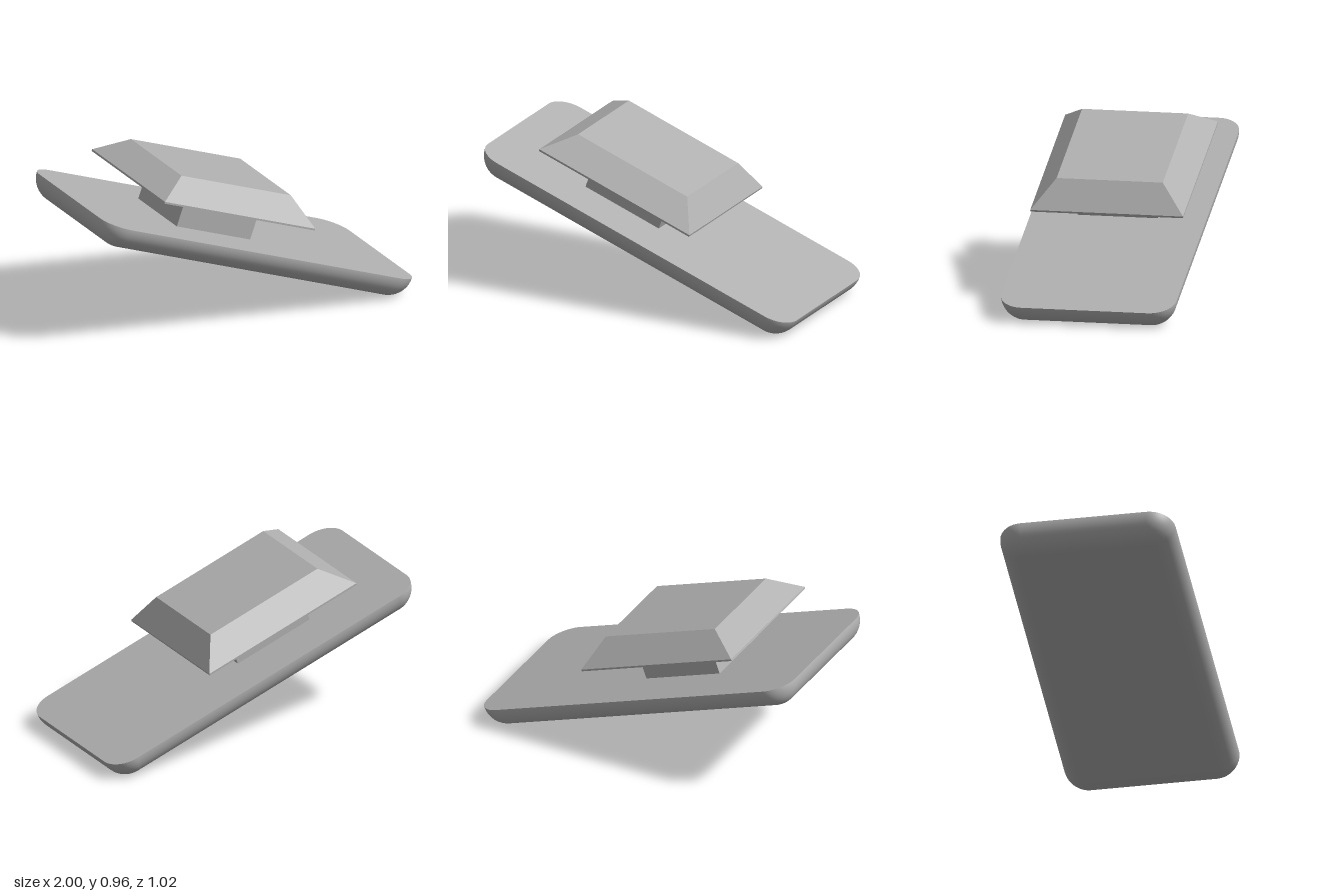
import * as THREE from 'three';

const grey = new THREE.MeshStandardMaterial({ color: 0xb0b0b0 });
grey.name = 'grey';

function addMesh(group, name, geometry, x, y, z) {
  const mesh = new THREE.Mesh(geometry, grey);
  mesh.name = name;
  mesh.position.set(x, y, z);
  group.add(mesh);
  return mesh;
}

// Slab with a flat top at y = 0 and its lower edges rounded by radius r
function roundedSlab(halfX, halfZ, r, cornerSteps = 12, edgeSteps = 12) {
  const pos = [], nor = [], index = [];
  const signs = [[1, 1], [-1, 1], [-1, -1], [1, -1]];
  const count = 4 * (cornerSteps + 1);
  const addRing = (phi, flatTop) => {
    signs.forEach(([sx, sz], corner) => {
      for (let k = 0; k <= cornerSteps; k++) {
        const t = (corner + k / cornerSteps) * Math.PI / 2;
        const n = [Math.cos(t) * Math.cos(phi), -Math.sin(phi), Math.sin(t) * Math.cos(phi)];
        pos.push(sx * (halfX - r) + r * n[0], r * n[1], sz * (halfZ - r) + r * n[2]);
        nor.push(...(flatTop ? [0, 1, 0] : n));
      }
    });
  };
  // rounded underside
  for (let j = 0; j <= edgeSteps; j++) addRing(j / edgeSteps * Math.PI / 2, false);
  for (let j = 0; j < edgeSteps; j++) {
    for (let i = 0; i < count; i++) {
      const next = (i + 1) % count;
      const a = j * count + i, b = j * count + next;
      index.push(a, b, a + count, b, b + count, a + count);
    }
  }
  // top and bottom caps
  const topRing = (edgeSteps + 1) * count;
  addRing(0, true);
  const topCentre = topRing + count, bottomCentre = topCentre + 1;
  pos.push(0, 0, 0, 0, -r, 0);
  nor.push(0, 1, 0, 0, -1, 0);
  for (let i = 0; i < count; i++) {
    const next = (i + 1) % count, last = edgeSteps * count;
    index.push(topCentre, topRing + next, topRing + i);
    index.push(bottomCentre, last + i, last + next);
  }
  const g = new THREE.BufferGeometry();
  g.setAttribute('position', new THREE.Float32BufferAttribute(pos, 3));
  g.setAttribute('normal', new THREE.Float32BufferAttribute(nor, 3));
  g.setIndex(index);
  return g;
}

// Box whose top is scaled inwards
function frustum(w, h, d, scaleX, scaleZ) {
  const g = new THREE.BoxGeometry(w, h, d);
  const p = g.attributes.position;
  for (let i = 0; i < p.count; i++) {
    if (p.getY(i) > 0) {
      p.setX(i, p.getX(i) * scaleX);
      p.setZ(i, p.getZ(i) * scaleZ);
    }
  }
  g.computeVertexNormals();
  return g;
}

export function createModel() {
  const model = new THREE.Group();
  model.name = 'tiltedPad';

  // everything leans 20 degrees down towards +x
  const tilted = new THREE.Group();
  tilted.name = 'tiltedAssembly';
  tilted.rotation.z = -THREE.MathUtils.degToRad(20);
  tilted.position.set(0.004, 0.4565, 0);
  model.add(tilted);

  addMesh(tilted, 'basePad', roundedSlab(1.0596, 0.51, 0.143), 0, 0, 0);
  addMesh(tilted, 'neck', new THREE.BoxGeometry(0.503, 0.174, 0.47), -0.211, 0.087, 0.005);

  // head: thin rim with a bevelled block on top
  addMesh(tilted, 'headRim', new THREE.BoxGeometry(1.031, 0.011, 0.89), -0.2125, 0.1785, 0.005);
  addMesh(tilted, 'headBlock', frustum(1.031, 0.134, 0.89, 0.727, 0.695), -0.2125, 0.251, 0.005);

  return model;
}
